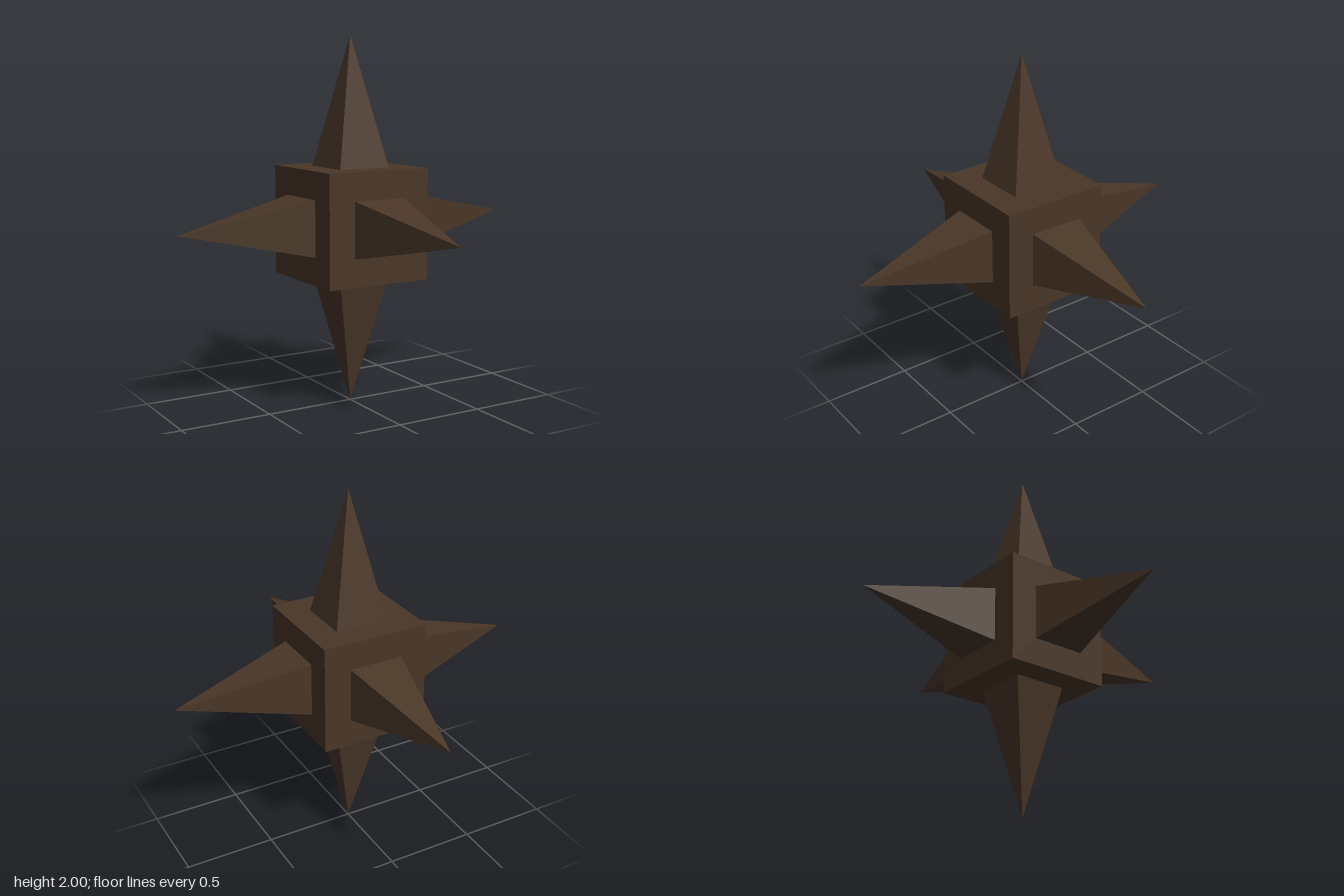
import * as THREE from 'three';

const CORE = 0.6;    // cube edge
const BASE = 0.3;    // edge of a spike's square base
const LENGTH = 0.7;  // spike height above the cube face

export function createModel() {
  const model = new THREE.Group();
  model.name = 'spikedCube';

  const brown = new THREE.MeshStandardMaterial({ color: 0x4a3728, flatShading: true });
  brown.name = 'dark brown';

  // Central cube
  const core = new THREE.Mesh(new THREE.BoxGeometry(CORE, CORE, CORE), brown);
  core.name = 'core';
  core.position.y = 1;
  model.add(core);

  // Four-sided spike, base at the origin with its edges along the axes
  const spikeGeometry = new THREE.ConeGeometry(BASE / Math.SQRT2, LENGTH, 4, 1, true)
    .rotateY(Math.PI / 4)
    .translate(0, LENGTH / 2, 0);

  // One spike on the middle of each cube face
  const directions = {
    top: [0, 1, 0], bottom: [0, -1, 0],
    left: [1, 0, 0], right: [-1, 0, 0],
    front: [0, 0, 1], back: [0, 0, -1],
  };
  const up = new THREE.Vector3(0, 1, 0);
  for (const [side, d] of Object.entries(directions)) {
    const direction = new THREE.Vector3(...d);
    const spike = new THREE.Mesh(spikeGeometry, brown);
    spike.name = side + 'Spike';
    spike.quaternion.setFromUnitVectors(up, direction);
    spike.position.copy(core.position).addScaledVector(direction, CORE / 2);
    model.add(spike);
  }

  return model;
}
